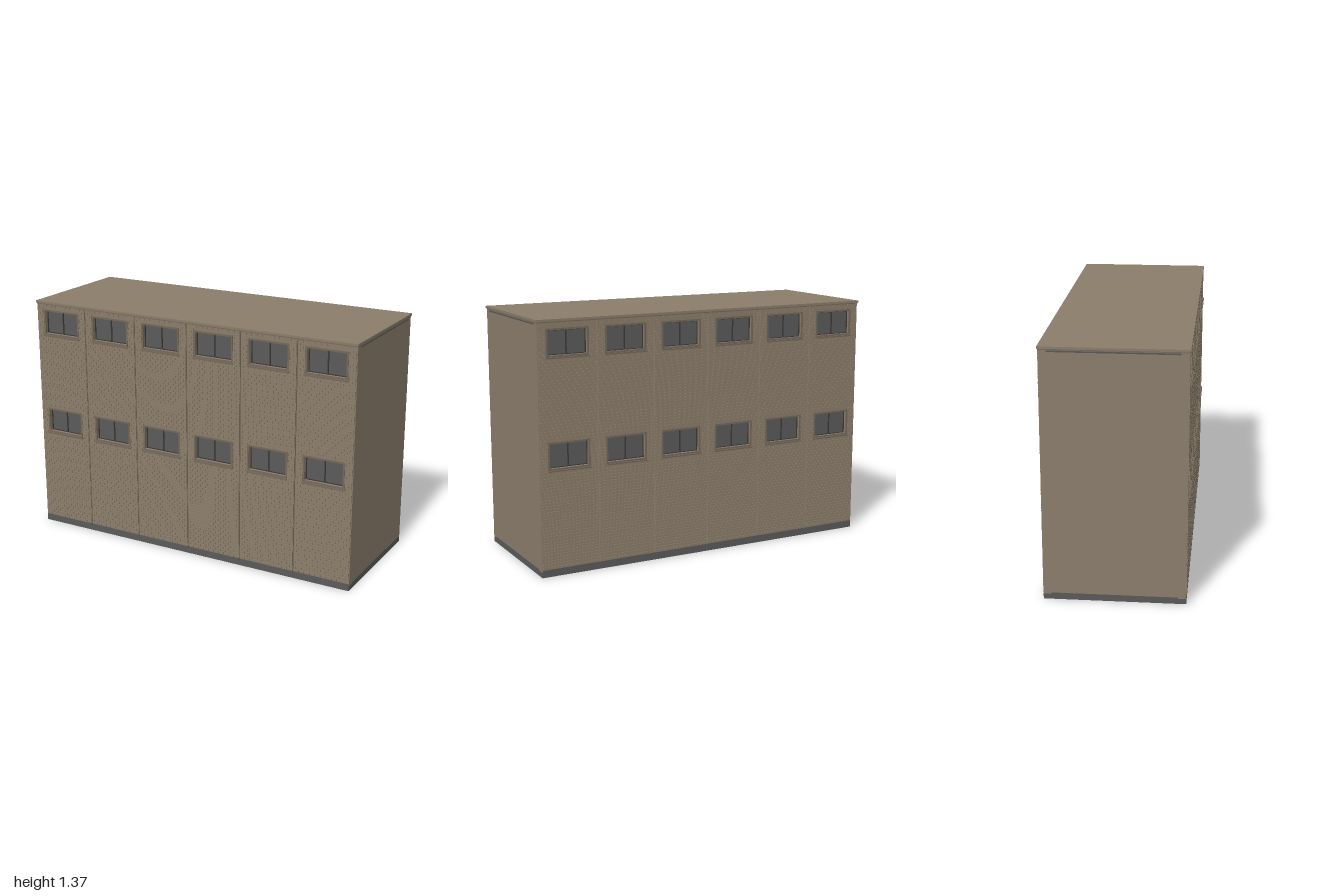
import * as THREE from 'three';
import { mergeGeometries } from 'three/addons/utils/BufferGeometryUtils.js';

const mat = (name, color) => {
  const m = new THREE.MeshStandardMaterial({ color });
  m.name = name;
  return m;
};
const tan = mat('tan masonry', 0x8b7d6b);
const grey = mat('dark grey', 0x5a5a5a);
const trim = mat('window trim', 0x75695a);
const black = mat('window bars', 0x3c3a38);

const BAYS = 6, BAY = 1.99 / BAYS, HALF = BAY / 2 - 0.003;
const Y0 = 0.04, Y1 = 1.348, FACE = 0.37;
const WIN_W = 0.24, WIN_H = 0.15, OPEN_W = 0.22, OPEN_H = 0.13;
const WIN_Y = [0.65, 1.243];

function boxGeo(w, h, d, x, y, z) {
  return new THREE.BoxGeometry(w, h, d).translate(x, y, z);
}
function add(parent, name, geometry, material) {
  const mesh = new THREE.Mesh(geometry, material);
  mesh.name = name;
  parent.add(mesh);
  return mesh;
}
function rect(path, x0, y0, x1, y1) {
  path.moveTo(x0, y0);
  path.lineTo(x1, y0);
  path.lineTo(x1, y1);
  path.lineTo(x0, y1);
  path.closePath();
  return path;
}

// Wall panel of one bay, pierced by its two windows
function panelGeometry() {
  const shape = rect(new THREE.Shape(), -HALF, Y0, HALF, Y1);
  for (const y of WIN_Y) {
    shape.holes.push(rect(new THREE.Path(), -OPEN_W / 2, y - OPEN_H / 2, OPEN_W / 2, y + OPEN_H / 2));
  }
  return new THREE.ExtrudeGeometry(shape, { depth: 0.027, bevelEnabled: false }).translate(0, 0, FACE - 0.027);
}

// Raised bricks in running bond, cut around the windows
function brickGeometry() {
  const rows = 79, pitch = (Y1 - Y0) / rows, length = HALF / 5, gap = 0.0025;
  const bricks = [];
  for (let r = 0; r < rows; r++) {
    const y = Y0 + (r + 0.5) * pitch;
    const atWindow = WIN_Y.some(w => Math.abs(y - w) < WIN_H / 2 + pitch / 2);
    const runs = atWindow ? [[-HALF, -WIN_W / 2], [WIN_W / 2, HALF]] : [[-HALF, HALF]];
    const shift = r % 2 ? length / 2 : 0;
    for (const [a, b] of runs) {
      for (let x = -HALF - shift; x < HALF; x += length) {
        const x0 = Math.max(a, x) + gap / 2, x1 = Math.min(b, x + length) - gap / 2;
        if (x1 - x0 < 0.003) continue;
        bricks.push(boxGeo(x1 - x0, pitch - gap, 0.005, (x0 + x1) / 2, y, FACE + 0.0015));
      }
    }
  }
  return mergeGeometries(bricks);
}

// Flat rectangular ring
function ringGeometry(w, h, t, depth, z) {
  const shape = rect(new THREE.Shape(), -w / 2, -h / 2, w / 2, h / 2);
  shape.holes.push(rect(new THREE.Path(), -w / 2 + t, -h / 2 + t, w / 2 - t, h / 2 - t));
  return new THREE.ExtrudeGeometry(shape, { depth, bevelEnabled: false }).translate(0, 0, z);
}

const windowParts = {
  surround: [ringGeometry(WIN_W, WIN_H, 0.01, 0.006, FACE - 0.002), trim],
  glass: [boxGeo(OPEN_W, OPEN_H, 0.004, 0, 0, 0.347), grey],
  bars: [mergeGeometries([
    ringGeometry(OPEN_W, OPEN_H, 0.004, 0.008, 0.347).toNonIndexed(),
    boxGeo(0.006, OPEN_H, 0.008, 0, 0, 0.351).toNonIndexed(),
  ].map(g => g.index ? g.toNonIndexed() : g)), black],
  sill: [boxGeo(WIN_W + 0.006, 0.008, 0.03, 0, -WIN_H / 2 - 0.003, 0.367), trim],
};

function createFacade(name) {
  const facade = new THREE.Group();
  facade.name = name;
  const panel = panelGeometry(), bricks = brickGeometry();
  for (let i = 0; i < BAYS; i++) {
    const bay = new THREE.Group();
    bay.name = 'wallBay';
    bay.position.x = (i - (BAYS - 1) / 2) * BAY;
    add(bay, 'wallPanel', panel, tan);
    add(bay, 'bricks', bricks, tan);
    add(bay, 'plinthTop', boxGeo(HALF * 2, 0.01, 0.03, 0, 0.035, 0.357), grey);
    for (const y of WIN_Y) {
      const win = new THREE.Group();
      win.name = 'window';
      win.position.y = y;
      for (const [part, [geometry, material]] of Object.entries(windowParts)) add(win, part, geometry, material);
      bay.add(win);
    }
    facade.add(bay);
  }
  return facade;
}

export function createModel() {
  const model = new THREE.Group();
  model.name = 'building';

  // Core, plinth and flat roof
  add(model, 'core', boxGeo(1.984, 1.32, 0.686, 0, 0.69, 0), tan);
  add(model, 'plinth', boxGeo(1.99, 0.03, 0.744, 0, 0.015, 0), grey);
  add(model, 'roof', boxGeo(2, 0.012, 0.754, 0, 1.359, 0), tan);
  add(model, 'roofBed', boxGeo(1.992, 0.006, 0.748, 0, 1.35, 0), trim);

  // Plain end walls with narrow shadow strips above and below
  for (const s of [-1, 1]) {
    add(model, 'endWall', boxGeo(0.006, 1.317, 0.738, s * 0.993, 0.6885, 0), tan);
    for (const y of [0.033, 1.341]) {
      add(model, 'endStrip', boxGeo(0.004, 0.008, 0.66, s * 0.9955, y, 0), grey);
    }
  }

  // Matching brick facades
  model.add(createFacade('frontFacade'));
  const back = createFacade('backFacade');
  back.rotation.y = Math.PI;
  model.add(back);
  return model;
}
